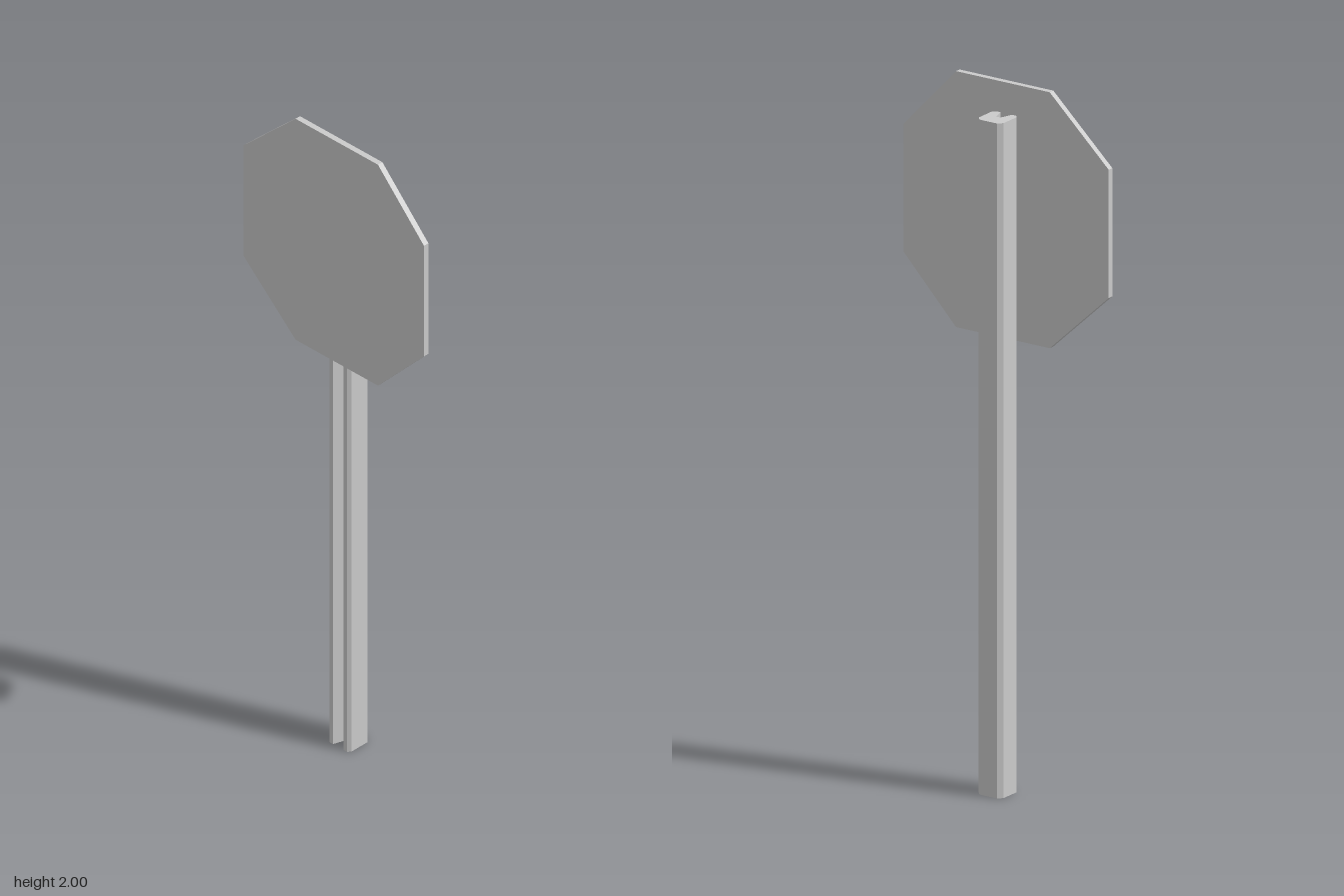
import * as THREE from 'three';

const material = new THREE.MeshStandardMaterial({ color: 0xcccccc, flatShading: true });

// Extrude a closed outline of [x, y] points along +z
function prism(points, depth) {
  const shape = new THREE.Shape(points.map(([x, y]) => new THREE.Vector2(x, y)));
  return new THREE.ExtrudeGeometry(shape, { depth, bevelEnabled: false });
}

function addPart(group, name, geometry) {
  const mesh = new THREE.Mesh(geometry, material);
  mesh.name = name;
  group.add(mesh);
}

export function createModel() {
  const group = new THREE.Group();
  group.name = 'roadSign';

  // Post: chamfered section with a tapering groove down the front, as [x, z]
  const half = [
    [0.007, -0.005], [0.019, 0.032], [0.033, 0.032],
    [0.041, 0.023], [0.041, -0.038], [0.029, -0.051],
  ];
  const section = [...half, ...half.map(([x, z]) => [-x, z]).reverse()];
  const post = prism(section.map(([x, z]) => [x, -z]), 1.912);
  post.rotateX(-Math.PI / 2);
  addPart(group, 'post', post);

  // Octagonal plate fixed to the front of the post
  const plate = prism([
    [-0.143, 1.275], [0.165, 1.275], [0.337, 1.455], [0.337, 1.818],
    [0.165, 2], [-0.143, 2], [-0.337, 1.818], [-0.337, 1.455],
  ], 0.017);
  plate.translate(0, 0, 0.032);
  addPart(group, 'signPlate', plate);

  return group;
}
